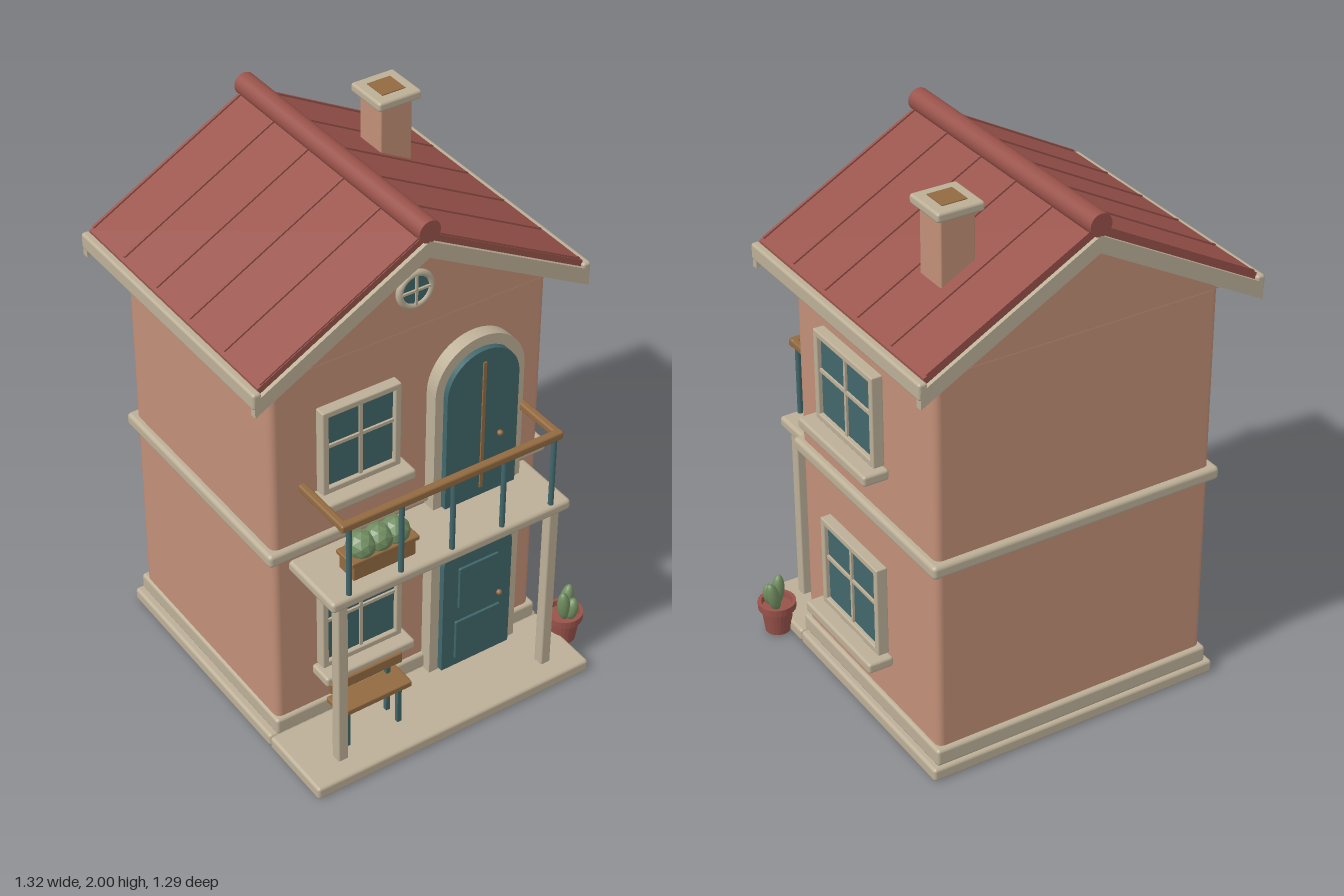
import * as THREE from 'three';
import { RoundedBoxGeometry } from 'three/addons/geometries/RoundedBoxGeometry.js';

export function createModel() {
  const house = new THREE.Group();
  house.name = 'house';
  const mat = (name, color) => {
    const m = new THREE.MeshStandardMaterial({ color });
    m.name = name;
    return m;
  };
  const wall = mat('terracotta plaster', 0xc18f77);
  const trim = mat('stone trim', 0xbcaf97);
  const red = mat('roof red', 0x98524a);
  const teal = mat('teal', 0x41676b);
  const wood = mat('wood', 0x926a40);
  const green = mat('leaf green', 0x708c60);
  const CX = -0.015; // middle of the house in x
  const FRONT = 0.335, BACK = -0.55;

  function add(name, geo, material, x = 0, y = 0, z = 0, parent = house) {
    const m = new THREE.Mesh(geo, material);
    m.name = name;
    m.position.set(x, y, z);
    parent.add(m);
    return m;
  }
  // Box given by its limits, with softened edges when r > 0
  function box(name, material, [x0, x1], [y0, y1], [z0, z1], r = 0, parent = house) {
    const s = [x1 - x0, y1 - y0, z1 - z0];
    const geo = r ? new RoundedBoxGeometry(...s, 2, r) : new THREE.BoxGeometry(...s);
    return add(name, geo, material, (x0 + x1) / 2, (y0 + y1) / 2, (z0 + z1) / 2, parent);
  }
  function extrude(name, material, shape, z0, z1, parent = house) {
    const geo = new THREE.ExtrudeGeometry(shape, { depth: z1 - z0, bevelEnabled: false, curveSegments: 20 });
    return add(name, geo, material, 0, 0, z0, parent);
  }
  const polygon = (pts) => new THREE.Shape(pts.map(([x, y]) => new THREE.Vector2(x, y)));

  // Ground slabs, walls and bands
  box('foundation', trim, [-0.585, 0.555], [0, 0.05], [-0.58, 0.34], 0.012);
  box('porchSlab', trim, [-0.585, 0.555], [0, 0.05], [0.34, 0.645], 0.012);
  box('plinth', trim, [-0.56, 0.535], [0.05, 0.115], [-0.57, 0.35], 0.012);
  box('walls', wall, [-0.55, 0.52], [0.06, 1.56], [BACK, FRONT], 0.025);
  box('floorBand', trim, [-0.575, 0.545], [0.81, 0.86], [-0.575, 0.355], 0.015);
  extrude('gable', wall, polygon([[-0.55, 1.54], [0.52, 1.54], [CX, 1.88]]), BACK, FRONT);

  // Roof: a chevron sheet, barge boards, gutters, seams and a round ridge
  const SLOPE = 0.545, ANGLE = Math.atan(SLOPE);
  const chevron = (half, apex, t) => polygon([
    [CX - half, apex - half * SLOPE], [CX - half, apex - half * SLOPE - t], [CX, apex - t],
    [CX + half, apex - half * SLOPE - t], [CX + half, apex - half * SLOPE], [CX, apex],
  ]);
  extrude('roofSheet', red, chevron(0.62, 1.945, 0.045), -0.63, 0.41);
  for (const [z0, z1] of [[0.4, 0.425], [-0.645, -0.62]])
    extrude('bargeBoard', trim, chevron(0.64, 1.92, 0.06), z0, z1);
  for (const s of [-1, 1]) {
    const x = CX + s * 0.63;
    box('gutter', trim, [x - 0.016, x + 0.016], [1.54, 1.6], [-0.645, 0.425], 0.01);
    for (let i = 0; i < 6; i++) {
      const seam = add('roofSeam', new THREE.BoxGeometry(0.69, 0.012, 0.01), red,
        CX + s * 0.305, 1.945 - 0.305 * SLOPE, -0.625 + i * 0.2055);
      seam.rotation.z = -s * ANGLE;
    }
  }
  add('ridge', new THREE.CylinderGeometry(0.04, 0.04, 1.07, 20), red, CX, 1.955, -0.11).rotation.x = Math.PI / 2;

  // Chimney
  box('chimneyShaft', wall, [0.26, 0.385], [1.7, 1.97], [-0.37, -0.245], 0.006);
  box('chimneyCap', trim, [0.238, 0.408], [1.963, 1.997], [-0.393, -0.222], 0.01);
  box('flue', wood, [0.277, 0.368], [1.994, 2.0], [-0.352, -0.262]);

  // Sash window with its back at z = 0 and its lower edge at y = 0
  function windowUnit(w, h, sillWidth, x, y, z, turn) {
    const g = new THREE.Group();
    g.name = 'window';
    const f = 0.024, half = w / 2;
    box('glass', teal, [-half + 0.01, half - 0.01], [0.01, h - 0.01], [0.004, 0.026], 0, g);
    for (const s of [-1, 1]) {
      const c = s * (half - f / 2);
      box('frameSide', trim, [c - f / 2, c + f / 2], [0, h], [0, 0.042], 0.005, g);
    }
    for (const y0 of [0, h - f])
      box('frameRail', trim, [-half, half], [y0, y0 + f], [0, 0.042], 0.005, g);
    box('mullion', trim, [-0.006, 0.006], [f, h - f], [0.02, 0.034], 0, g);
    box('crossbar', trim, [f - half, half - f], [h * 0.56 - 0.006, h * 0.56 + 0.006], [0.02, 0.034], 0, g);
    box('sill', trim, [-sillWidth / 2, sillWidth / 2], [-0.037, 0.002], [0, 0.095], 0.01, g);
    g.position.set(x, y, z);
    g.rotation.y = turn;
    house.add(g);
  }
  windowUnit(0.32, 0.355, 0.36, -0.25, 0.33, 0.37, 0);
  windowUnit(0.3, 0.33, 0.35, -0.253, 1.08, 0.37, 0);
  windowUnit(0.376, 0.345, 0.435, 0.555, 0.36, -0.108, Math.PI / 2);
  windowUnit(0.376, 0.335, 0.435, 0.555, 1.1, -0.108, Math.PI / 2);

  // Round gable window
  const disc = add('roundGlass', new THREE.CylinderGeometry(0.058, 0.058, 0.02, 32), teal, CX, 1.7, 0.345);
  disc.rotation.x = Math.PI / 2;
  add('roundFrame', new THREE.TorusGeometry(0.06, 0.012, 10, 36), trim, CX, 1.7, 0.35);
  box('roundMullion', trim, [CX - 0.004, CX + 0.004], [1.645, 1.755], [0.35, 0.362]);
  box('roundCrossbar', trim, [CX - 0.055, CX + 0.055], [1.696, 1.704], [0.35, 0.362]);

  // Arched doorways
  function arch(Type, cx, r, y0, spring) {
    const p = new Type();
    p.moveTo(cx - r, y0);
    p.lineTo(cx + r, y0);
    p.lineTo(cx + r, spring);
    p.absarc(cx, spring, r, 0, Math.PI, false);
    p.lineTo(cx - r, y0);
    return p;
  }
  function doorway(cx, rOut, rIn, y0, spring) {
    const surround = arch(THREE.Shape, cx, rOut, y0, spring);
    surround.holes.push(arch(THREE.Path, cx, rIn, y0 + 0.004, spring - 0.008));
    extrude('doorSurround', trim, surround, 0.32, 0.385);
    extrude('door', teal, arch(THREE.Shape, cx, rIn - 0.003, y0 + 0.004, spring - 0.008), 0.33, 0.404);
  }
  doorway(0.232, 0.183, 0.147, 0.05, 0.522);
  doorway(0.228, 0.179, 0.147, 0.79, 1.26);
  box('upperPanel', teal, [0.15, 0.315], [0.32, 0.5], [0.4, 0.412], 0.004);
  box('lowerPanel', teal, [0.14, 0.33], [0.09, 0.26], [0.4, 0.412], 0.004);
  box('doorStrip', wood, [0.222, 0.234], [0.83, 1.35], [0.4, 0.41]);
  for (const [x, y] of [[0.322, 0.315], [0.296, 1.035]])
    add('doorKnob', new THREE.SphereGeometry(0.011, 12, 8), wood, x, y, 0.414);

  // Balcony
  box('balconySlab', trim, [-0.49, 0.47], [0.75, 0.793], [0.32, 0.595], 0.014);
  for (const x of [-0.435, 0.42])
    box('porchPost', trim, [x - 0.02, x + 0.02], [0.045, 0.755], [0.53, 0.572], 0.006);
  box('frontRail', wood, [-0.45, 0.425], [1.067, 1.098], [0.56, 0.59], 0.008);
  for (const x of [-0.435, 0.41])
    box('sideRail', wood, [x - 0.014, x + 0.014], [1.068, 1.097], [0.33, 0.575], 0.008);
  for (let i = 0; i < 5; i++)
    add('baluster', new THREE.CylinderGeometry(0.01, 0.01, 0.285, 10), teal, -0.415 + i * 0.203, 0.93, 0.575);

  // Planter with three shrubs
  box('planterBox', wood, [-0.37, -0.125], [0.793, 0.862], [0.45, 0.535], 0.005);
  box('planterRim', wood, [-0.38, -0.115], [0.855, 0.874], [0.445, 0.542], 0.005);
  for (const x of [-0.315, -0.248, -0.181]) {
    const geo = new THREE.IcosahedronGeometry(0.052, 1);
    geo.computeVertexNormals();
    add('shrub', geo, green, x, 0.896, 0.494);
  }

  // Bench
  box('benchBack', wood, [-0.42, -0.13], [0.265, 0.31], [0.458, 0.475], 0.005);
  box('benchSeat', wood, [-0.415, -0.13], [0.2, 0.224], [0.435, 0.535], 0.005);
  for (const x of [-0.385, -0.175]) {
    box('benchRearLeg', teal, [x - 0.008, x + 0.008], [0.045, 0.32], [0.441, 0.457]);
    box('benchFrontLeg', teal, [x - 0.008, x + 0.008], [0.045, 0.205], [0.51, 0.526]);
  }

  // Potted cactus
  const plant = new THREE.Group();
  plant.name = 'pottedCactus';
  plant.position.set(0.587, 0.005, 0.455);
  house.add(plant);
  const profile = [[0, 0], [0.046, 0], [0.058, 0.095], [0.069, 0.095], [0.069, 0.122], [0.056, 0.122], [0.053, 0.1], [0, 0.1]];
  const potGeo = new THREE.LatheGeometry(profile.map(([x, y]) => new THREE.Vector2(x, y)), 24).toNonIndexed();
  potGeo.computeVertexNormals();
  add('pot', potGeo, red, 0, 0, 0, plant);
  for (const [x, z, h, tilt] of [[-0.012, 0.012, 0.062, 0.1], [0.022, -0.018, 0.06, -0.22], [0.016, 0.024, 0.045, -0.15]]) {
    const lobe = add('cactusLobe', new THREE.SphereGeometry(1, 16, 12), green, x, 0.095 + h, z, plant);
    lobe.scale.set(0.024, h, 0.024);
    lobe.rotation.z = tilt;
  }
  return house;
}
